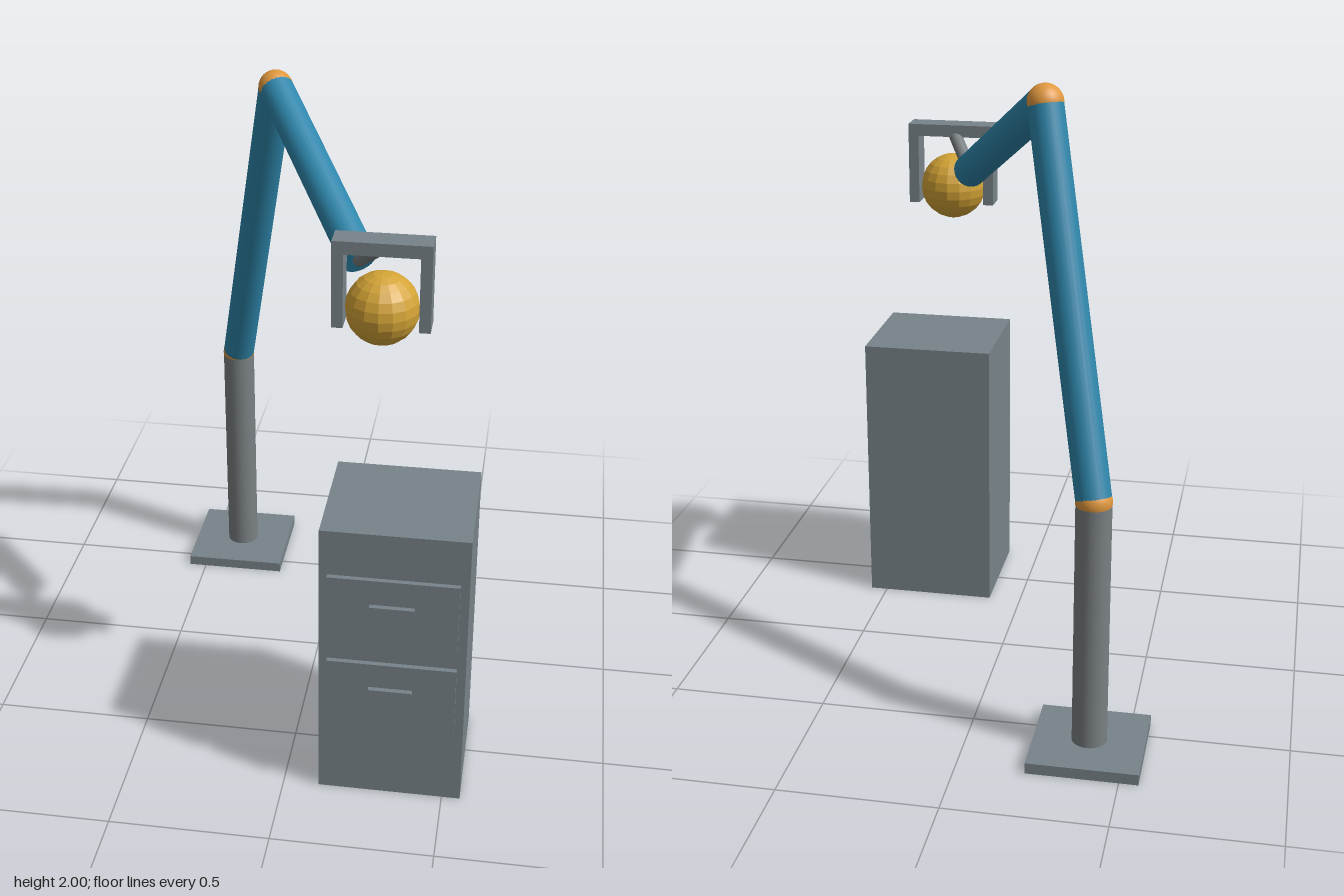
import * as THREE from 'three';

const material = (name, color, extra = {}) => {
  const m = new THREE.MeshStandardMaterial({ color, ...extra });
  m.name = name;
  return m;
};

export function createModel() {
  const root = new THREE.Group();
  root.name = 'deskArmAndCabinet';

  const grey = material('slateGrey', 0x78848a);
  const steel = material('steelGrey', 0x7a8083);
  const blue = material('armBlue', 0x2e86ab);
  const orange = material('jointOrange', 0xe0983f);
  const gold = material('ballGold', 0xd4a436, { flatShading: true });

  const add = (name, geometry, mat, parent = root) => {
    const mesh = new THREE.Mesh(geometry, mat);
    mesh.name = name;
    parent.add(mesh);
    return mesh;
  };
  // Box given by its lowest and highest corners
  const box = (name, [x0, y0, z0], [x1, y1, z1], mat, parent) => {
    const mesh = add(name, new THREE.BoxGeometry(x1 - x0, y1 - y0, z1 - z0), mat, parent);
    mesh.position.set((x0 + x1) / 2, (y0 + y1) / 2, (z0 + z1) / 2);
    return mesh;
  };
  // Round bar between two points
  const bar = (name, a, b, radius, mat, parent) => {
    const dir = b.clone().sub(a);
    const mesh = add(name, new THREE.CylinderGeometry(radius, radius, dir.length(), 24), mat, parent);
    mesh.position.copy(a).add(b).multiplyScalar(0.5);
    mesh.quaternion.setFromUnitVectors(new THREE.Vector3(0, 1, 0), dir.normalize());
    return mesh;
  };
  const ball = (name, p, radius, mat, parent, w = 24, h = 16) => {
    const mesh = add(name, new THREE.SphereGeometry(radius, w, h), mat, parent);
    mesh.position.copy(p);
    return mesh;
  };

  // Jointed arm standing on a square plate
  const arm = new THREE.Group();
  arm.name = 'arm';
  root.add(arm);
  const R = 0.055;
  const foot = new THREE.Vector3(-0.387, 0.035, -0.603);
  const shoulder = new THREE.Vector3(-0.387, 0.835, -0.603);
  const elbow = new THREE.Vector3(-0.178, 1.944, -0.27);
  const wrist = new THREE.Vector3(0.163, 1.605, 0.275);
  const grip = new THREE.Vector3(0.25, 1.712, 0.415);
  box('basePlate', [-0.56, 0, -0.776], [-0.214, 0.035, -0.43], grey, arm);
  bar('post', foot, shoulder, R, steel, arm);
  ball('shoulderJoint', shoulder, R + 0.001, orange, arm);
  bar('lowerArm', shoulder, elbow, R, blue, arm);
  ball('elbowJoint', elbow, R + 0.001, orange, arm);
  bar('upperArm', elbow, wrist, R, blue, arm);
  bar('wristRod', wrist, grip, 0.022, steel, arm);

  // Gripper bracket with the ball it holds
  const gripper = new THREE.Group();
  gripper.name = 'gripper';
  root.add(gripper);
  box('gripperBar', [0.105, 1.695, 0.374], [0.395, 1.735, 0.456], grey, gripper);
  box('rightFinger', [0.105, 1.465, 0.374], [0.139, 1.695, 0.456], grey, gripper);
  box('leftFinger', [0.361, 1.465, 0.374], [0.395, 1.695, 0.456], grey, gripper);
  ball('heldBall', new THREE.Vector3(0.25, 1.52, 0.417), 0.11, gold, gripper, 16, 12);

  // Cabinet with two drawers
  const cabinet = new THREE.Group();
  cabinet.name = 'cabinet';
  root.add(cabinet);
  box('cabinetBody', [0.112, 0, 0.331], [0.557, 0.946, 0.735], grey, cabinet);
  for (const y of [0.27, 0.57]) {
    box('drawerFront', [0.138, y, 0.744], [0.53, y + 0.233, 0.76], grey, cabinet);
    box('drawerHandle', [0.267, y + 0.134, 0.76], [0.4, y + 0.15, 0.776], grey, cabinet);
  }
  return root;
}
